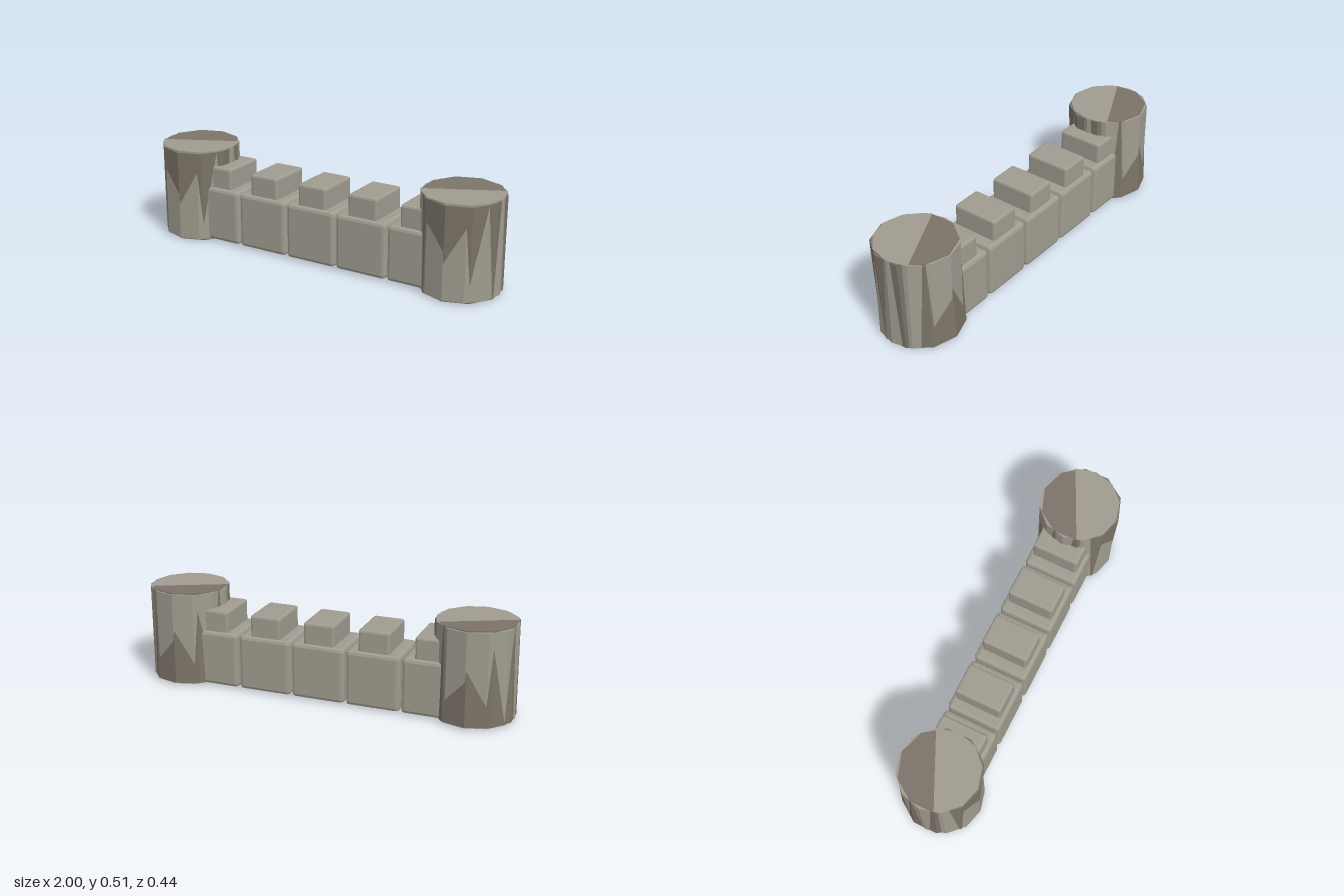
import * as THREE from 'three';
import { RoundedBoxGeometry } from 'three/addons/geometries/RoundedBoxGeometry.js';

const paleStone = new THREE.MeshStandardMaterial({ color: 0xa09c90 });
paleStone.name = 'pale stone';
const brownStone = new THREE.MeshStandardMaterial({ color: 0x7c7469 });
brownStone.name = 'brown stone';

// Faceted normals for a low-poly look
function faceted(geometry) {
  const flat = geometry.index ? geometry.toNonIndexed() : geometry;
  flat.computeVertexNormals();
  return flat;
}

function part(name, geometry, material, x, y, z) {
  const mesh = new THREE.Mesh(geometry, material);
  mesh.name = name;
  mesh.position.set(x, y, z);
  return mesh;
}

export function createModel() {
  const model = new THREE.Group();
  model.name = 'castleWall';

  // Towers: an upright drum with a slightly leaning one pushed through it
  const uprightDrum = faceted(new THREE.CylinderGeometry(0.209, 0.209, 0.494, 12));
  const leaningDrum = faceted(new THREE.CylinderGeometry(0.21, 0.21, 0.494, 10));
  const lean = new THREE.Quaternion().setFromUnitVectors(
    new THREE.Vector3(0, 1, 0), new THREE.Vector3(0.018, 1, 0.037).normalize());
  const turn = new THREE.Quaternion().setFromAxisAngle(new THREE.Vector3(0, 1, 0), 0.02);
  for (const side of [-1, 1]) {
    const tower = new THREE.Group();
    tower.name = side > 0 ? 'leftTower' : 'rightTower';
    tower.position.x = side * 0.791;
    tower.add(part('uprightDrum', uprightDrum, paleStone, 0, 0.259, 0));
    const leaning = part('leaningDrum', leaningDrum, brownStone, 0, 0.258, 0);
    leaning.quaternion.copy(lean).multiply(turn);
    tower.add(leaning);
    model.add(tower);
  }

  // Wall: five bevelled blocks, each with a merlon on top
  const block = faceted(new RoundedBoxGeometry(0.285, 0.295, 0.292, 1, 0.018));
  const merlon = faceted(new RoundedBoxGeometry(0.166, 0.2, 0.25, 1, 0.012));
  for (let i = -2; i <= 2; i++) {
    const x = i * 0.297;
    model.add(part('wallBlock', block, paleStone, x, 0.159, -0.004));
    model.add(part('merlon', merlon, paleStone, x, 0.32, -0.005));
  }
  return model;
}
